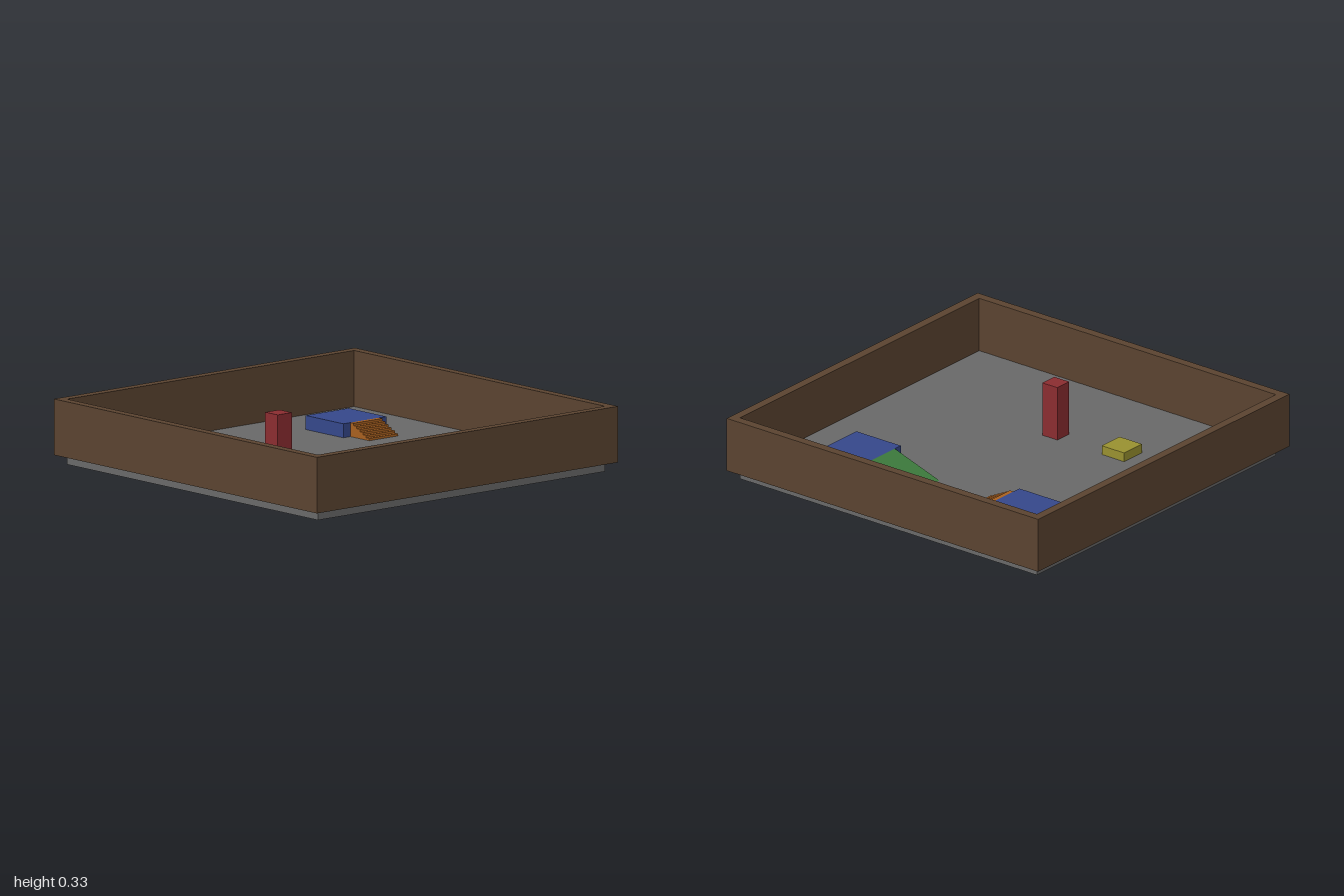
import * as THREE from 'three';

const U = 1 / 21; // one grid unit; the tray is 42 units wide

const mat = (color) => new THREE.MeshStandardMaterial({ color, flatShading: true });
const materials = {
  floor: mat(0x686868),
  wall: mat(0x5a4330),
  blue: mat(0x35478a),
  orange: mat(0xa86020),
  green: mat(0x3c7a3c),
  yellow: mat(0x989030),
  red: mat(0x8a2c30),
};

export function createModel() {
  const model = new THREE.Group();
  model.name = 'arena';

  const add = (name, geometry, material) => {
    const mesh = new THREE.Mesh(geometry, material);
    mesh.name = name;
    model.add(mesh);
    return mesh;
  };

  // Box given by its extents in grid units
  const box = (name, material, [x0, x1], [y0, y1], [z0, z1]) => {
    const geometry = new THREE.BoxGeometry((x1 - x0) * U, (y1 - y0) * U, (z1 - z0) * U);
    const mesh = add(name, geometry, material);
    mesh.position.set((x0 + x1) / 2 * U, (y0 + y1) / 2 * U, (z0 + z1) / 2 * U);
  };

  // Side profile in x and y, extruded along z
  const prism = (name, material, points, [z0, z1]) => {
    const shape = new THREE.Shape(points.map(([x, y]) => new THREE.Vector2(x * U, y * U)));
    const geometry = new THREE.ExtrudeGeometry(shape, { depth: (z1 - z0) * U, bevelEnabled: false });
    add(name, geometry, material).position.z = z0 * U;
  };

  // Floor slab, with the walls standing just outside its edge
  box('floor', materials.floor, [-20, 20], [0, 1], [-20, 20]);
  box('frontWall', materials.wall, [-21, 21], [1, 7], [20, 21]);
  box('backWall', materials.wall, [-21, 21], [1, 7], [-21, -20]);
  box('leftWall', materials.wall, [20, 21], [1, 7], [-20, 20]);
  box('rightWall', materials.wall, [-21, -20], [1, 7], [-20, 20]);

  // Platform reached by six steps
  box('stairPlatform', materials.blue, [-14, -8], [1, 2.5], [-14, -8]);
  const steps = [[-8, 1]];
  for (let i = 0; i < 6; i++) {
    const y = 1 + 0.25 * (i + 1);
    const x = -5 - 0.5 * i;
    steps.push([x, y - 0.25], [x, y]);
  }
  steps.push([-8, 2.5]);
  prism('stairs', materials.orange, steps, [-13, -9]);

  // Platform reached by a ramp
  box('rampPlatform', materials.blue, [8, 14], [1, 3], [-14, -8]);
  prism('ramp', materials.green, [[2, 1], [8, 1], [8, 3]], [-13, -9]);

  // Loose obstacles
  box('lowBlock', materials.yellow, [-10, -7], [1, 2], [7, 10]);
  box('pillar', materials.red, [-1, 1], [1, 7], [7, 9]);

  return model;
}
